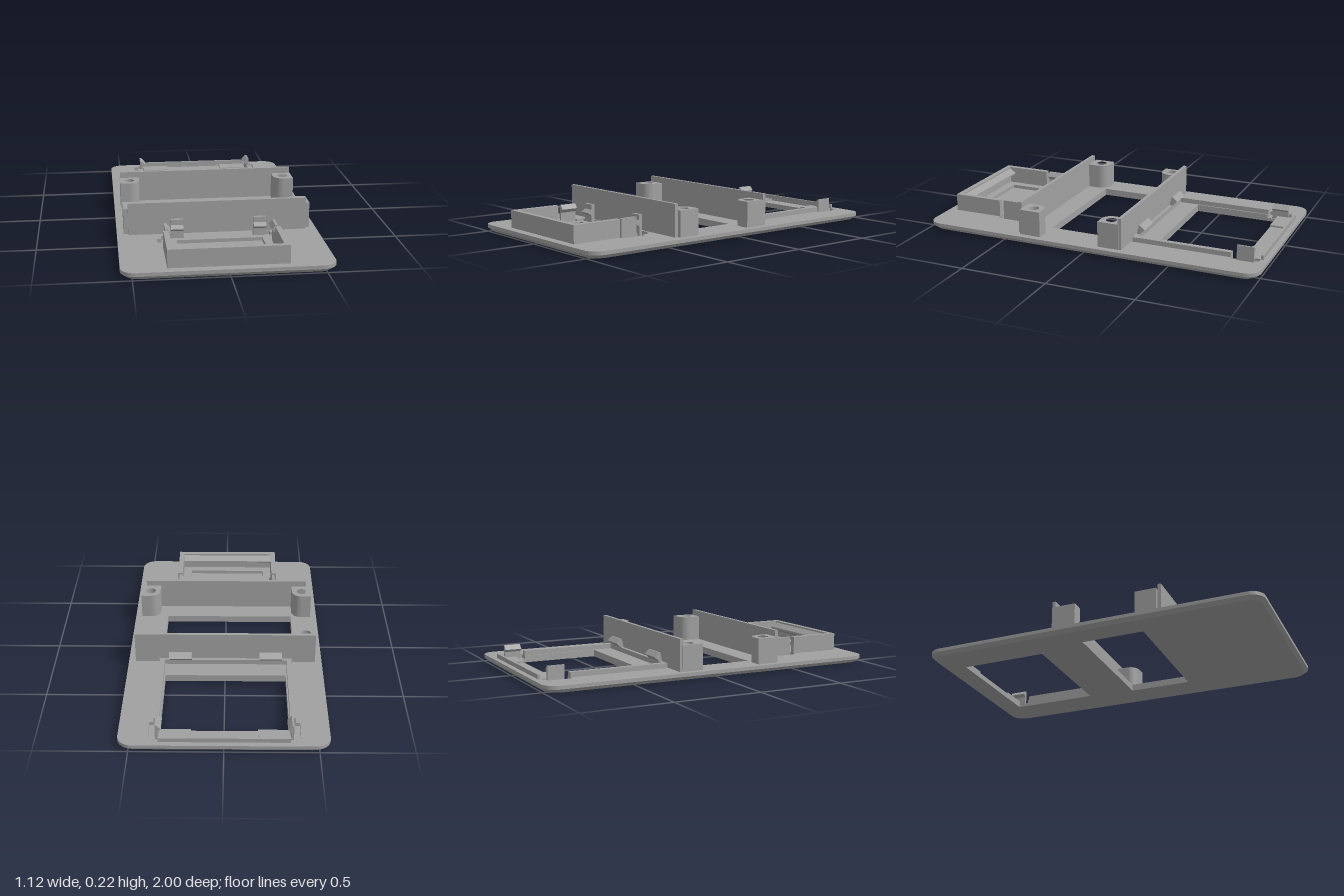
import * as THREE from 'three';

const grey = new THREE.MeshStandardMaterial({ color: 0xa0a0a0 });
grey.name = 'grey plastic';
const CX = -0.0025; // the bays are mirrored about this x

const toPath = (pts, Type) => new Type(pts.map(([x, z]) => new THREE.Vector2(x, -z)));
const rect = (x0, x1, z0, z1) => [[x0, z0], [x1, z0], [x1, z1], [x0, z1]];
// Mirrors a point list across the bay centre line
const flip = pts => pts.map(([x, z]) => [2 * CX - x, z]).reverse();

// Plan outline raised from y0 to y1
function raise(shape, y0, y1) {
  const g = new THREE.ExtrudeGeometry(shape, { depth: y1 - y0, bevelEnabled: false, curveSegments: 12 });
  return g.rotateX(-Math.PI / 2).translate(0, y0, 0);
}

// Side profile of [z, y] points swept from x0 to x1
function sweepX(pts, x0, x1) {
  const s = new THREE.Shape(pts.map(([z, y]) => new THREE.Vector2(-z, y)));
  const g = new THREE.ExtrudeGeometry(s, { depth: x1 - x0, bevelEnabled: false });
  return g.rotateY(Math.PI / 2).translate(x0, 0, 0);
}

// Front profile of [x, y] points swept from z0 to z1
function sweepZ(pts, z0, z1) {
  const s = new THREE.Shape(pts.map(([x, y]) => new THREE.Vector2(x, y)));
  return new THREE.ExtrudeGeometry(s, { depth: z1 - z0, bevelEnabled: false }).translate(0, 0, z0);
}

function plateOutline(holes) {
  const s = new THREE.Shape(), w = 0.56, h = 1, r = 0.08;
  s.absarc(w - r, h - r, r, 0, Math.PI / 2);
  s.absarc(-w + r, h - r, r, Math.PI / 2, Math.PI);
  s.absarc(-w + r, -h + r, r, Math.PI, Math.PI * 1.5);
  s.absarc(w - r, -h + r, r, Math.PI * 1.5, Math.PI * 2);
  s.holes = holes.map(p => toPath(p, THREE.Path));
  return s;
}

export function createModel() {
  const model = new THREE.Group();
  model.name = 'coverPlate';
  const add = (name, geometry) => {
    const m = new THREE.Mesh(geometry, grey);
    m.name = name;
    model.add(m);
  };
  const box = (name, x0, x1, y0, y1, z0, z1) => add(name,
    new THREE.BoxGeometry(x1 - x0, y1 - y0, z1 - z0).translate((x0 + x1) / 2, (y0 + y1) / 2, (z0 + z1) / 2));

  // Lower plate layer with a chamfered rim
  const middleWindow = rect(-0.40, 0.36, -0.08, 0.285);
  const base = raise(plateOutline([rect(-0.345, 0.34, -0.86, -0.36), middleWindow]), 0, 0.02);
  const p = base.attributes.position;
  for (let i = 0; i < p.count; i++) {
    const rim = Math.abs(p.getX(i)) > 0.45 || Math.abs(p.getZ(i)) > 0.98;
    if (rim && p.getY(i) < 0.001) p.setXYZ(i, p.getX(i) * 0.964, 0, p.getZ(i) * 0.98);
  }
  base.computeVertexNormals();
  add('plateBase', base);

  // Upper plate layer with recesses around the clips
  const halfWindow = [[-0.345, -0.36], [-0.345, -0.80], [-0.405, -0.80], [-0.405, -0.935],
    [-0.38, -0.935], [-0.38, -0.955], [-0.345, -0.955], [-0.345, -0.86], [-0.18, -0.86], [-0.18, -0.955]];
  const clipRecess = [[-0.345, 0.655], [-0.345, 0.51], [-0.32, 0.51], [-0.32, 0.465], [-0.295, 0.465],
    [-0.295, 0.44], [-0.195, 0.44], [-0.195, 0.505], [-0.275, 0.505], [-0.275, 0.655]];
  add('plateTop', raise(plateOutline([
    [...halfWindow, ...flip(halfWindow)], middleWindow,
    rect(-0.24, 0.235, 0.54, 0.87), clipRecess, flip(clipRecess),
  ]), 0.02, 0.04));
  box('recessFloor', -0.18, 0.175, 0.02, 0.03, -0.955, -0.86);

  // Two tall cross walls
  box('backCrossWall', -0.52, 0.52, 0.04, 0.222, -0.217, -0.197);
  box('frontCrossWall', -0.497, 0.497, 0.04, 0.222, 0.407, 0.427);

  // Four screw posts, each with one rounded inner corner and a bore
  for (const sx of [-1, 1]) for (const sz of [-1, 1]) {
    const s = new THREE.Shape(), r = 0.058;
    const X = x => sx * x, Y = z => -(sz < 0 ? -0.138 - z : 0.344 + z); // z grows towards the wall
    s.moveTo(X(0.522), Y(0.063));
    s.lineTo(X(0.522), Y(-0.062));
    s.lineTo(X(0.407 + r), Y(-0.062));
    for (let i = 1; i <= 10; i++) {
      const a = i / 10 * Math.PI / 2;
      s.lineTo(X(0.407 + r - r * Math.sin(a)), Y(-0.062 + r - r * Math.cos(a)));
    }
    s.lineTo(X(0.407), Y(0.063));
    s.closePath();
    s.holes.push(new THREE.Path().absarc(sx * 0.467, Y(0), 0.03, 0, Math.PI * 2, true));
    add('screwPost', raise(s, 0.04, 0.187));
  }

  // Rear bay: low frame around the window
  box('rearFrameFront', -0.385, 0.38, 0.04, 0.068, -0.245, -0.225);
  box('rearFrameBack', -0.35, 0.345, 0.04, 0.065, -0.97, -0.956);

  // Front bay: tall tray wall with a sloped lip
  box('trayFrontWall', -0.32, 0.315, 0.04, 0.14, 0.92, 0.95);
  add('trayLip', sweepX([[0.92, 0.075], [0.92, 0.13], [0.885, 0.105], [0.885, 0.095]], -0.29, 0.285));

  // Mirrored side parts of both bays
  for (const s of [-1, 1]) {
    const span = (a, b) => [CX + s * a, CX + s * b].sort((u, v) => u - v);
    const prof = pts => pts.map(([x, y]) => [CX + s * x, y]);

    box('rearFrameSide', ...span(0.35, 0.38), 0.04, 0.068, -0.80, -0.245);
    add('rearFrontHook', sweepX([[-0.228, 0.06], [-0.228, 0.07], [-0.24, 0.12], [-0.248, 0.12],
      [-0.275, 0.095], [-0.245, 0.068], [-0.245, 0.06]], ...span(0.195, 0.325)));
    add('rearSideClip', sweepZ(prof([[0.365, 0.02], [0.365, 0.11], [0.355, 0.11], [0.332, 0.085],
      [0.35, 0.07], [0.35, 0.02]]), -0.922, -0.826));

    box('traySideWall', ...span(0.2875, 0.3175), 0.04, 0.14, 0.655, 0.92);
    add('traySideClip', sweepZ(prof([[0.305, 0.02], [0.305, 0.14], [0.291, 0.14], [0.273, 0.115],
      [0.291, 0.095], [0.291, 0.02]]), 0.537, 0.637));
    add('trayBackHook', sweepX([[0.468, 0.02], [0.468, 0.14], [0.488, 0.14], [0.488, 0.11],
      [0.512, 0.092], [0.488, 0.075], [0.488, 0.02]], ...span(0.195, 0.265)));
  }
  return model;
}
